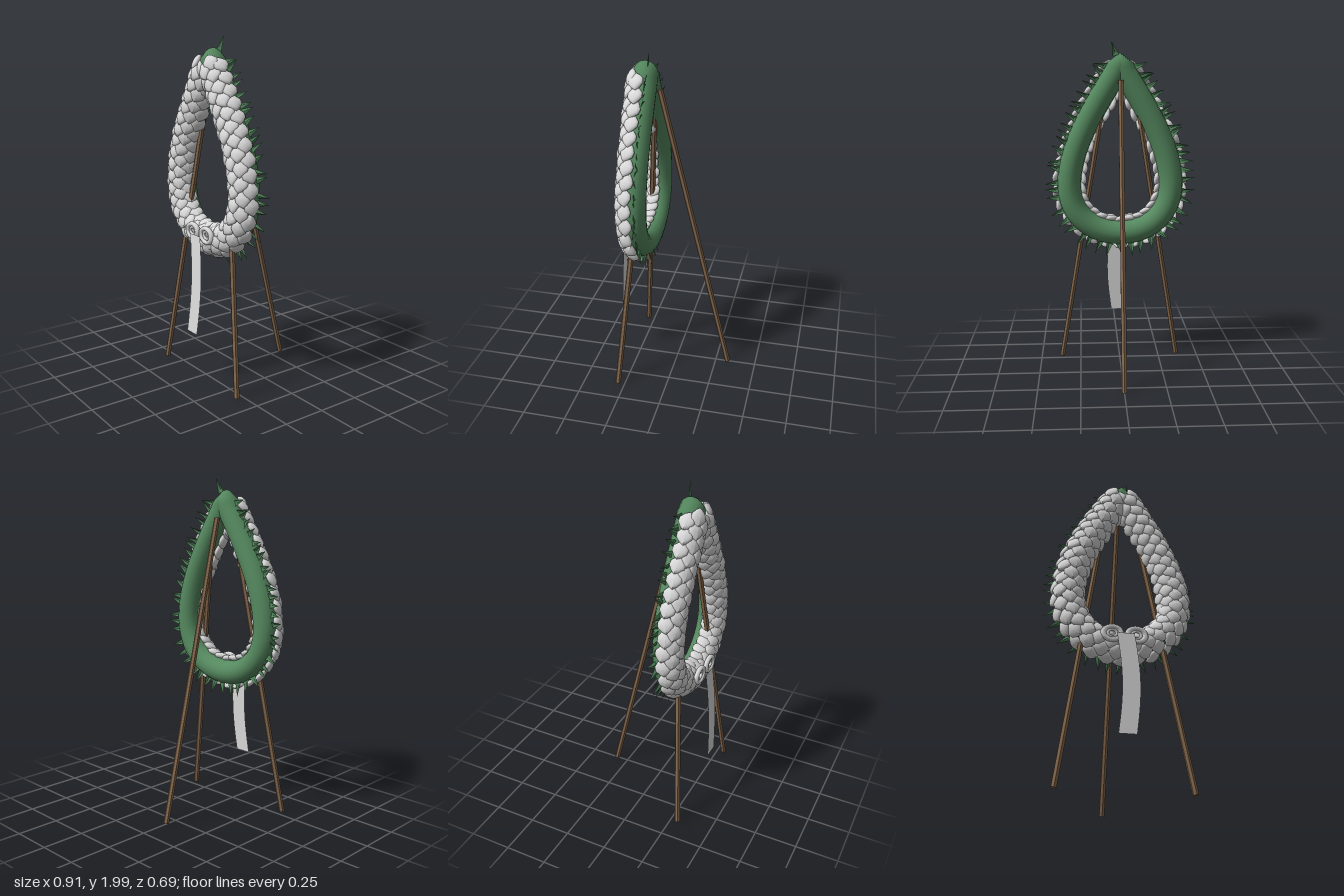
import * as THREE from 'three';
import { mergeGeometries } from 'three/addons/utils/BufferGeometryUtils.js';

const mat = (name, color, side = THREE.FrontSide) => {
  const m = new THREE.MeshStandardMaterial({ color, side });
  m.name = name;
  return m;
};
const V = (x, y, z = 0) => new THREE.Vector3(x, y, z);
const RING_Z = 0.181, TUBE_R = 0.072;

// Repeatable jitter in -1..1
let seed = 7;
const jitter = () => {
  seed = (seed * 16807) % 2147483647;
  return (seed / 2147483647) * 2 - 1;
};

// Closed teardrop centre line, starting at the tip and running down the model's left side
function teardrop() {
  const upper = new THREE.CubicBezierCurve3(V(0, 1.85), V(0.13, 1.64), V(0.31, 1.38), V(0.31, 1.13));
  const lower = new THREE.CubicBezierCurve3(V(0.31, 1.13), V(0.31, 0.95), V(0.17, 0.835), V(0, 0.835));
  const half = [...upper.getPoints(12), ...lower.getPoints(9).slice(1)];
  const other = half.slice(1, -1).reverse().map(p => V(-p.x, p.y));
  const pts = [...half, ...other].map(p => p.setZ(RING_Z));
  return new THREE.CatmullRomCurve3(pts, true, 'centripetal');
}

// Puffy petal with a softly pointed outline; thin along y
function petalGeometry() {
  const g = new THREE.SphereGeometry(1, 10, 8);
  const p = g.attributes.position;
  for (let i = 0; i < p.count; i++) {
    const x = p.getX(i), z = p.getZ(i);
    p.setZ(i, z * (1.08 - 0.35 * Math.abs(x)));
    p.setX(i, x * (1.08 - 0.2 * Math.abs(z)));
  }
  g.scale(0.049, 0.02, 0.046);
  g.computeVertexNormals();
  return g;
}

// Pointed leaf along +y with a raised middle rib
function leafGeometry() {
  const w = 0.021, l = 0.09;
  const g = new THREE.BufferGeometry();
  g.setAttribute('position', new THREE.Float32BufferAttribute([
    -w, 0, 0, 0, 0.02, 0.007, 0, l, 0,
    0, 0.02, 0.007, w, 0, 0, 0, l, 0,
    -w, 0, 0, w, 0, 0, 0, 0.02, 0.007,
  ], 3));
  g.computeVertexNormals();
  return g;
}

// Place a geometry with its x and y axes along the given directions
function placed(geo, x, y, pos) {
  const z = x.clone().cross(y).normalize();
  const m = new THREE.Matrix4().makeBasis(x, y, z).setPosition(pos);
  return geo.clone().applyMatrix4(m);
}

// Tangent, position and outward direction of the ring
function frameAt(curve, u) {
  const w = ((u % 1) + 1) % 1;
  const t = curve.getTangentAt(w);
  return { t, p: curve.getPointAt(w), out: V(-t.y, t.x) };
}

function petals(curve) {
  const base = petalGeometry(), parts = [], stations = 34;
  const rows = [-72, -36, 0, 36, 72];
  rows.forEach((deg, r) => {
    for (let i = 0; i < stations; i++) {
      const u = (i + (r % 2 ? 0.5 : 0.98)) / stations;
      if (u < 0.014 || u > 0.986) continue;
      const { t, p, out } = frameAt(curve, u);
      const a = THREE.MathUtils.degToRad(deg + 4 * jitter());
      const n = out.clone().multiplyScalar(Math.sin(a)).add(V(0, 0, Math.cos(a)));
      const pos = p.clone().addScaledVector(n, TUBE_R + 0.011 + 0.003 * jitter());
      // Lift one end so that the petals overlap like scales, then spin a little
      const side = u < 0.5 ? 1 : -1;
      const x = t.clone().applyAxisAngle(t.clone().cross(n).normalize(), 0.22 * side);
      const y = n.clone().applyAxisAngle(t.clone().cross(n).normalize(), 0.22 * side);
      x.applyAxisAngle(y, 0.35 * jitter());
      parts.push(placed(base, x, y, pos));
    }
  });
  return mergeGeometries(parts);
}

function leaves(curve) {
  const base = leafGeometry(), parts = [], count = 50;
  for (let i = 0; i < count; i++) {
    const u = (i + 0.25 * jitter()) / count;
    const { p, out } = frameAt(curve, u);
    const y = out.clone().applyAxisAngle(V(0, 0, 1), 0.35 * jitter());
    y.z = -0.18 + 0.1 * jitter();
    y.normalize();
    const x = y.clone().cross(V(0, 0, 1)).normalize();
    x.applyAxisAngle(y, 0.5 * jitter());
    const pos = p.clone().addScaledVector(out, 0.06).add(V(0, 0, -0.023));
    parts.push(placed(base, x, y, pos));
  }
  return mergeGeometries(parts);
}

// Hanging ribbon: a strip that sways sideways and forward
function ribbonGeometry() {
  const g = new THREE.PlaneGeometry(1, 1, 1, 12);
  const p = g.attributes.position;
  for (let i = 0; i < p.count; i++) {
    const s = 0.5 - p.getY(i), sway = Math.sin(Math.PI * s);
    p.setXYZ(i, p.getX(i) * 0.1 + 0.026 * sway, 0.875 - 0.585 * s, 0.315 + 0.03 * s);
  }
  g.computeVertexNormals();
  return g;
}

export function createModel() {
  const green = mat('foliage green', 0x568a60);
  const leafGreen = mat('leaf green', 0x4f8258, THREE.DoubleSide);
  const white = mat('petal white', 0xd9d9d9);
  const ribbonWhite = mat('ribbon white', 0xdedede, THREE.DoubleSide);
  const wood = mat('wood brown', 0x86694e);

  const model = new THREE.Group();
  const add = (name, geo, material, parent = model) => {
    const m = new THREE.Mesh(geo, material);
    m.name = name;
    parent.add(m);
    return m;
  };

  // Wreath
  const curve = teardrop();
  add('wreathRing', new THREE.TubeGeometry(curve, 96, TUBE_R, 16, true), green);
  add('petals', petals(curve), white);
  add('leaves', leaves(curve), leafGreen);

  // Easel legs
  const leg = (name, a, b) => {
    const dir = b.clone().sub(a);
    const m = add(name, new THREE.CylinderGeometry(0.017, 0.017, dir.length(), 6).toNonIndexed(), wood);
    m.geometry.computeVertexNormals();
    m.position.copy(a).add(b).multiplyScalar(0.5);
    m.quaternion.setFromUnitVectors(V(0, 1, 0), dir.normalize());
  };
  leg('frontLegLeft', V(0.368, 0.004, 0.292), V(0.1, 1.65, 0.158));
  leg('frontLegRight', V(-0.368, 0.004, 0.292), V(-0.1, 1.65, 0.158));
  leg('backLeg', V(0, 0.004, -0.325), V(0, 1.76, 0.1));

  // Bow: two flattened loops, each with an inner coil
  const bow = new THREE.Group();
  bow.name = 'bow';
  model.add(bow);
  for (const s of [-1, 1]) {
    const outer = add('bowLoop', new THREE.TorusGeometry(0.05, 0.017, 8, 28), white, bow);
    const inner = add('bowCoil', new THREE.TorusGeometry(0.026, 0.009, 8, 24), white, bow);
    for (const m of [outer, inner]) {
      m.position.set(0.069 * s, 0.882, 0.284);
      m.rotation.z = -0.1 * s;
      m.scale.set(1, 0.8, 0.9);
    }
  }
  add('ribbon', ribbonGeometry(), ribbonWhite);
  return model;
}
